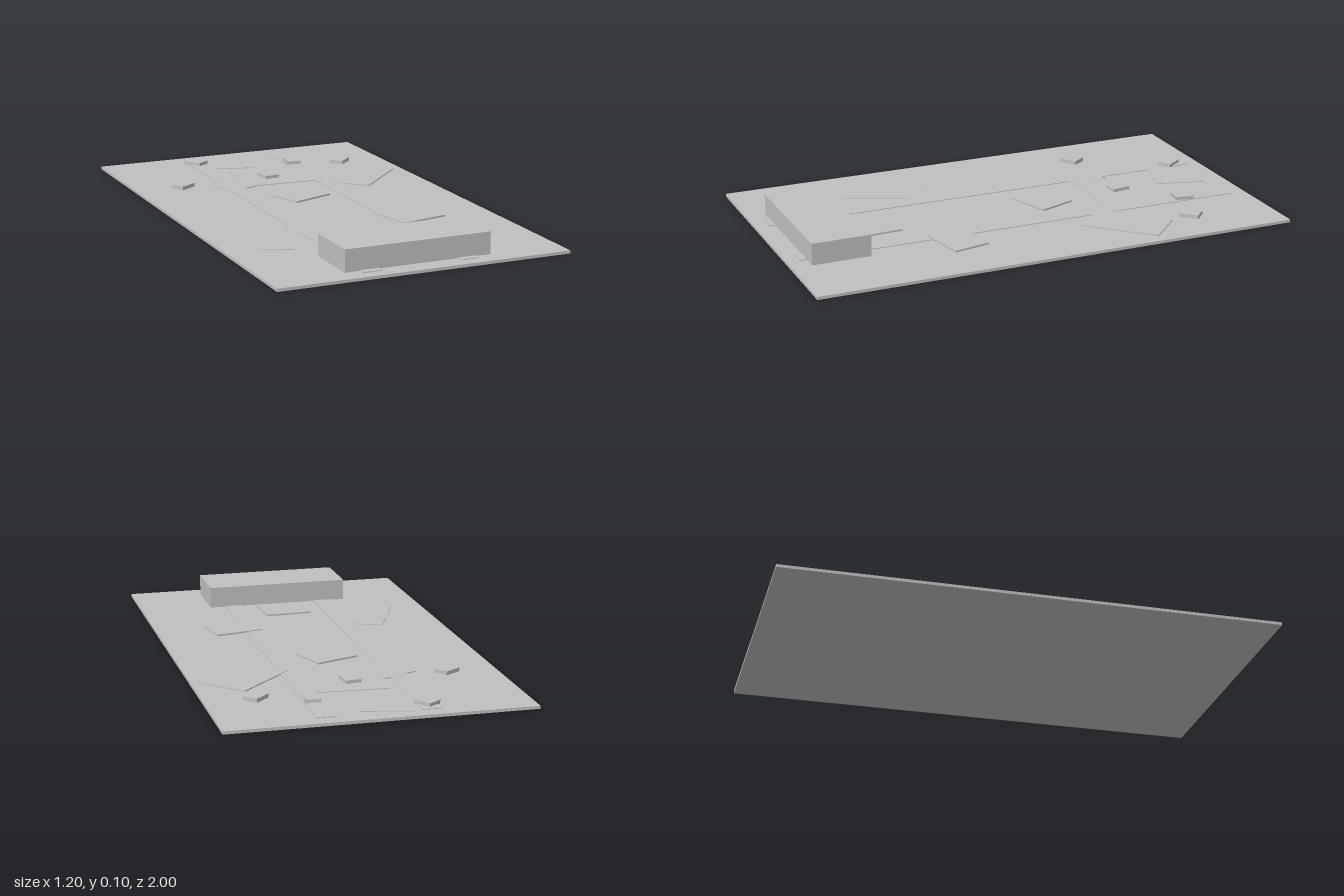
import * as THREE from 'three';

export function createModel() {
  const model = new THREE.Group();
  const grey = new THREE.MeshStandardMaterial({ color: 0xc0c0c0 });
  grey.name = 'plainGrey';

  const BASE_TOP = 0.012;

  // Box resting between two heights, turned about the vertical axis
  function slab(name, x, z, width, depth, top, turn = 0, bottom = BASE_TOP - 0.004) {
    const mesh = new THREE.Mesh(new THREE.BoxGeometry(width, top - bottom, depth), grey);
    mesh.name = name;
    mesh.position.set(x, (top + bottom) / 2, z);
    mesh.rotation.y = turn;
    model.add(mesh);
  }

  // Ground slab and the large block near the front
  slab('base', 0, 0, 1.2, 2, BASE_TOP, 0, 0);
  slab('block', 0, 0.8, 0.6, 0.24, 0.1);

  // Two long parallel tracks running under the block
  for (const side of [-1, 1]) slab('track', side * 0.2, 0.005, 0.075, 1.89, 0.015);

  // Thin branches joining or leaving the tracks: x, z, width, depth, top, turn
  const branches = [
    [0.02, -0.52, 0.3, 0.26, 0.0148, -0.05],
    [-0.06, -0.83, 0.2, 0.21, 0.0146, -0.27],
    [-0.348, 0.392, 0.14, 0.33, 0.0152, -0.41],
    [0.375, -0.38, 0.19, 0.32, 0.0165, -0.785],
    [-0.182, -0.438, 0.16, 0.14, 0.0154, 0.43],
  ];
  for (const b of branches) slab('branch', ...b);

  // Raised flat tiles along the middle
  const tiles = [
    [0, 0.56, 0.195, 0.16, 0.019, 0.04],
    [0.28, 0.315, 0.205, 0.155, 0.019, 0.2],
    [0, -0.173, 0.19, 0.16, 0.019, 0.35],
  ];
  for (const t of tiles) slab('tile', ...t);

  // Small scattered boxes at the back: x, z, turn
  const smallBoxes = [
    [-0.2, -0.87, 0.6],
    [0.2, -0.725, -0.17],
    [0.4, -0.655, -0.8],
    [0, -0.525, 0.12],
    [-0.4, -0.5, -1.0],
  ];
  for (const [x, z, turn] of smallBoxes) slab('smallBox', x, z, 0.062, 0.079, 0.028, turn);

  return model;
}
